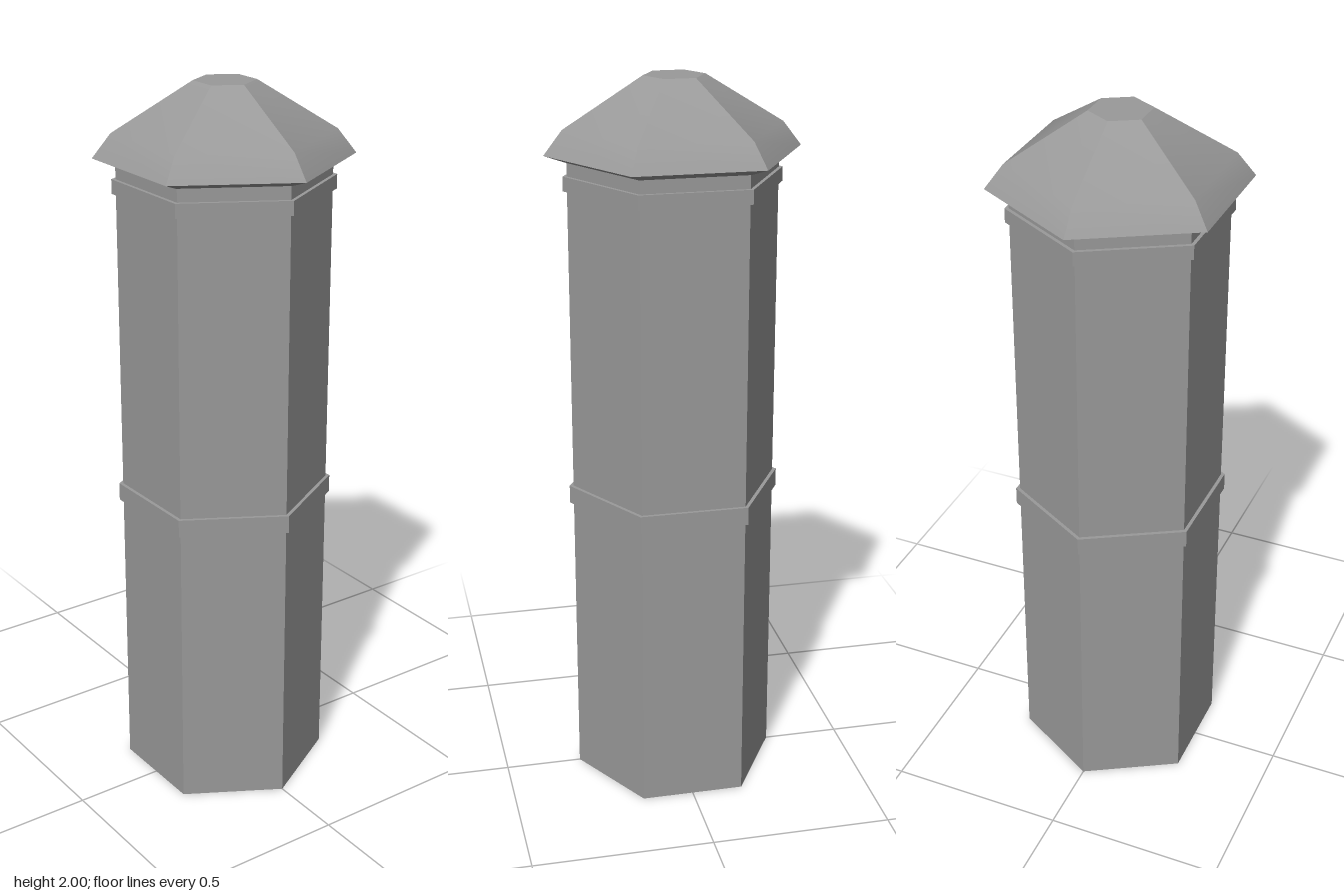
import * as THREE from 'three';
import { toCreasedNormals } from 'three/addons/utils/BufferGeometryUtils.js';

const material = new THREE.MeshStandardMaterial({ color: 0x9a9a9a });

// Six-sided turned part from a [radius, y] profile, listed bottom to top, corners on the x axis
function hexPart(name, profile) {
  const points = profile.map(([r, y]) => new THREE.Vector2(r, y));
  const lathe = new THREE.LatheGeometry(points, 6, Math.PI / 2);
  const mesh = new THREE.Mesh(toCreasedNormals(lathe, THREE.MathUtils.degToRad(25)), material);
  mesh.name = name;
  return mesh;
}

// Closed straight hexagonal prism
const hexPrism = (name, r, y0, y1) => hexPart(name, [[0, y0], [r, y0], [r, y1], [0, y1]]);

export function createModel() {
  const group = new THREE.Group();
  group.name = 'hexagonalPost';

  // Post and its two raised bands
  group.add(hexPrism('shaft', 0.286, 0, 1.79));
  group.add(hexPrism('middleBand', 0.297, 0.828, 0.878));
  group.add(hexPrism('upperBand', 0.297, 1.708, 1.747));

  // Overhanging cap: sloped underside, steep rim, shallow roof, flat top
  group.add(hexPart('cap', [
    [0, 1.783], [0.289, 1.783], [0.346, 1.803],
    [0.296, 1.868], [0.083, 2], [0, 2],
  ]));

  return group;
}
